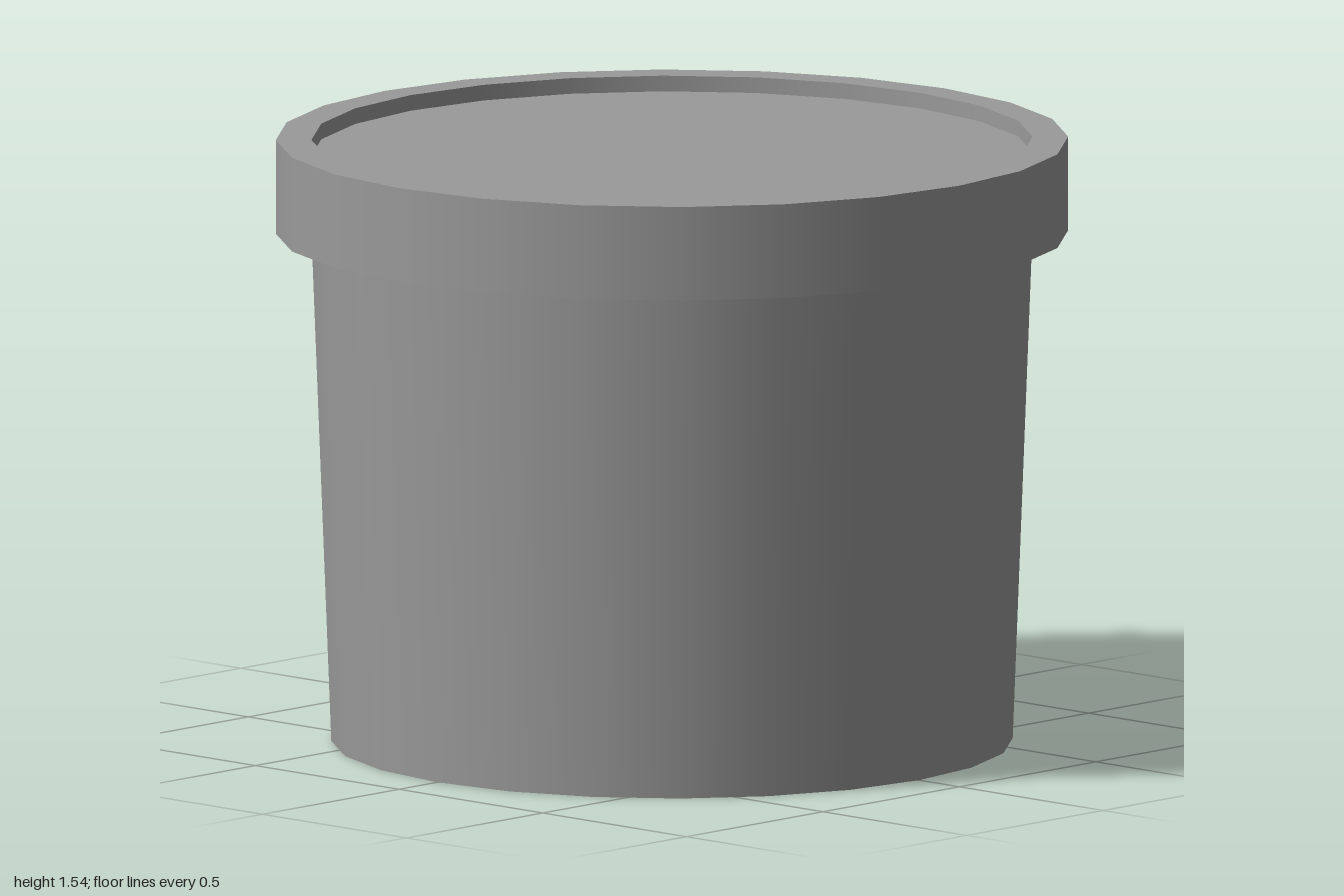
import * as THREE from 'three';
import { mergeGeometries } from 'three/addons/utils/BufferGeometryUtils.js';

const SIDES = 24;
const material = new THREE.MeshStandardMaterial({ color: 0x9a9a9a });

// Revolves each profile segment on its own: smooth around, crisp between bands.
// Profiles run from the bottom centre outwards and up, as [radius, y].
function turned(name, profile) {
  const points = profile.map(([r, y]) => new THREE.Vector2(r, y));
  const bands = points.slice(1).map((p, i) => new THREE.LatheGeometry([points[i], p], SIDES));
  const geometry = mergeGeometries(bands);
  geometry.normalizeNormals(); // even shading along every band
  const mesh = new THREE.Mesh(geometry, material);
  mesh.name = name;
  return mesh;
}

export function createModel() {
  const group = new THREE.Group();
  group.name = 'lidded tub';

  // Tapered cup with a flat base, reaching up to the lid
  group.add(turned('cup', [[0, 0], [0.86, 0], [0.91, 1.3]]));

  // Overhanging lid: flat underside, straight skirt, raised rim and recessed top panel
  group.add(turned('lid', [
    [0.91, 1.3], [1, 1.3], [1, 1.54], [0.91, 1.54], [0.91, 1.5], [0, 1.5],
  ]));

  return group;
}
